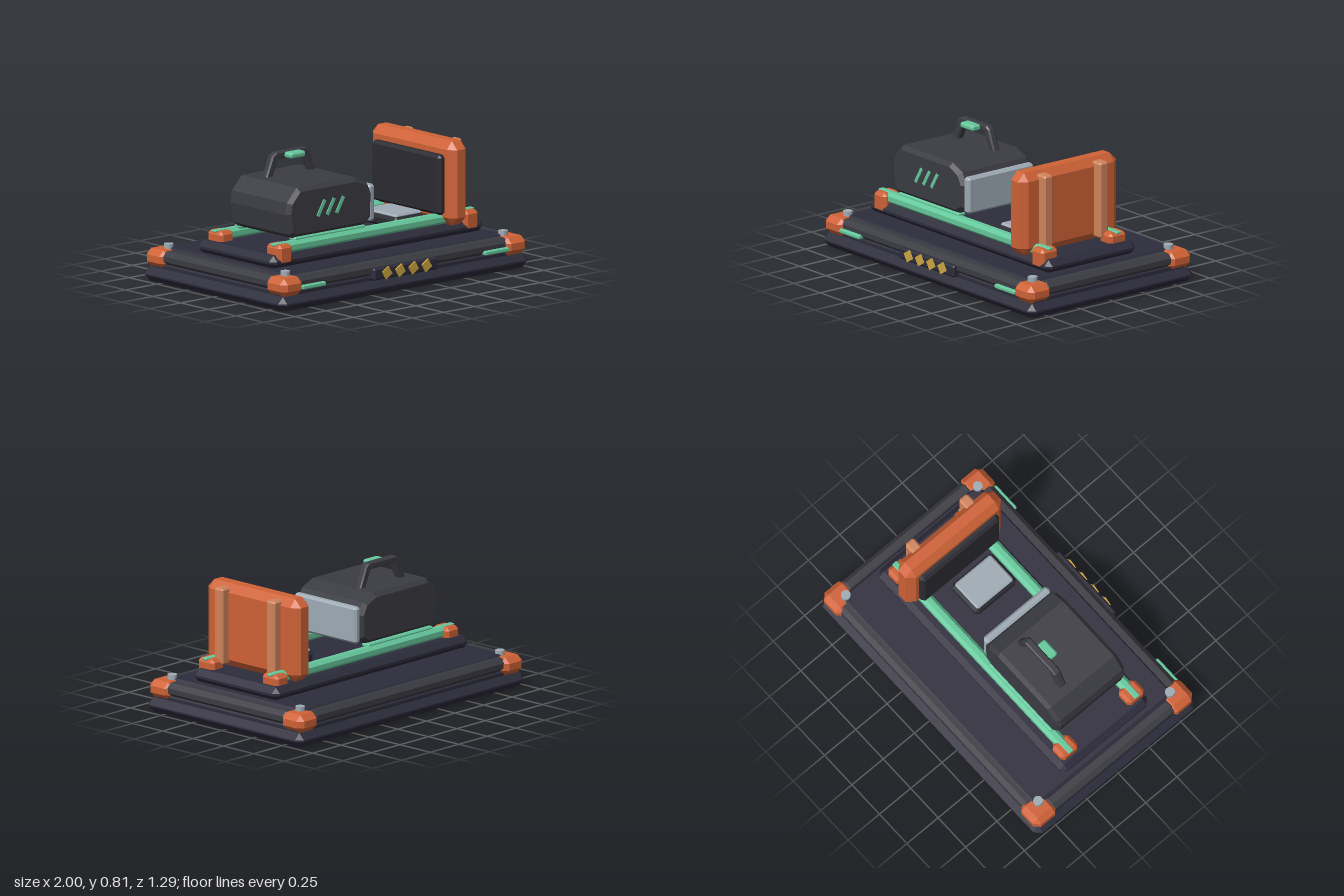
import * as THREE from 'three';
import { ConvexGeometry } from 'three/addons/geometries/ConvexGeometry.js';

const mat = (name, color) => new THREE.MeshStandardMaterial({ name, color, flatShading: true });

export function createModel() {
  const model = new THREE.Group();
  model.name = 'railMachine';
  const navy = mat('navy', 0x2d2c3b);
  const charcoal = mat('charcoal', 0x3b3b43);
  const black = mat('black', 0x2a2a31);
  const orange = mat('orange', 0xcf6236);
  const lightOrange = mat('lightOrange', 0xd0845c);
  const green = mat('green', 0x66c99d);
  const grey = mat('grey', 0x9fabb5);
  const gold = mat('gold', 0xcca640);

  const add = (name, geometry, material) => {
    const mesh = new THREE.Mesh(geometry, material);
    mesh.name = name;
    model.add(mesh);
    return mesh;
  };

  // Box with all edges chamfered; the chamfer may differ per axis
  function block(name, material, [x0, x1], [y0, y1], [z0, z1], c = 0.01) {
    const [cx, cy, cz] = Array.isArray(c) ? c : [c, c, c];
    const hx = (x1 - x0) / 2, hy = (y1 - y0) / 2, hz = (z1 - z0) / 2;
    const points = [];
    for (const sx of [-1, 1]) for (const sy of [-1, 1]) for (const sz of [-1, 1]) {
      points.push(
        new THREE.Vector3(sx * hx, sy * (hy - cy), sz * (hz - cz)),
        new THREE.Vector3(sx * (hx - cx), sy * hy, sz * (hz - cz)),
        new THREE.Vector3(sx * (hx - cx), sy * (hy - cy), sz * hz));
    }
    const mesh = add(name, new ConvexGeometry(points), material);
    mesh.position.set((x0 + x1) / 2, (y0 + y1) / 2, (z0 + z1) / 2);
    return mesh;
  }
  const around = (centre, half) => [centre - half, centre + half];

  // Base slab, deck and stepped plinth
  block('baseSlab', navy, [-1, 1], [0, 0.09], [-0.643, 0.637], [0.04, 0.04, 0.04]);
  block('baseStep', navy, [-0.96, 0.96], [0.07, 0.13], [-0.603, 0.597], 0.02);
  block('deck', navy, [-0.89, 0.89], [0.08, 0.208], [-0.563, 0.54], 0.015);
  block('plinth', navy, [-0.855, 0.855], [0.2, 0.285], [-0.312, 0.388], [0.035, 0.035, 0.035]);

  // Edge rails, corner blocks and bolts
  for (const s of [-1, 1]) {
    block('sideEdgeRail', charcoal, around(s * 0.92, 0.05), [0.11, 0.198], [-0.5, 0.5], 0.028);
    block('longEdgeRail', charcoal, [-0.86, 0.86], [0.11, 0.198], around(s * 0.56 - 0.003, 0.05), 0.028);
    for (const t of [-1, 1]) {
      block('cornerBlock', orange, around(s * 0.898, 0.088), [0.088, 0.2], around(t * 0.545 - 0.003, 0.09), 0.035);
      const bolt = add('bolt', new THREE.CylinderGeometry(0.03, 0.03, 0.03, 12), grey);
      bolt.position.set(s * 0.875, 0.213, t * 0.527 - 0.004);
    }
    block('frontLight', green, around(s * 0.735, 0.095), [0.12, 0.146], [0.56, 0.632], 0.006);
  }

  // Front panel with tilted gold studs
  block('frontPanel', navy, [-0.26, 0.26], [0.094, 0.168], [0.56, 0.634], 0.01);
  for (let i = 0; i < 4; i++) {
    const stud = add('panelStud', new THREE.BoxGeometry(0.058, 0.058, 0.009), gold);
    stud.position.set(-0.16 + i * 0.106, 0.133, 0.639);
    stud.rotation.z = 0.55;
  }

  // Sliding rails with end brackets
  for (const z of [-0.205, 0.325]) {
    block('slideRail', green, [-0.75, 0.75], [0.28, 0.35], around(z, 0.036), [0.02, 0.02, 0.02]);
    block('carriageSlide', green, [-0.63, -0.06], [0.34, 0.366], around(z - Math.sign(z) * 0.02, 0.03), 0.008);
    for (const s of [-1, 1]) {
      block('railBracket', orange, around(s * 0.748, 0.056), [0.222, 0.346], around(z, 0.066), 0.02);
      block('bracketPad', green, around(s * 0.75, 0.055), [0.336, 0.351], around(z, 0.019), 0.004);
    }
  }

  // Motor housing: side profile extruded across with a bevel
  const profile = [[-0.59, 0.64], [-0.655, 0.57], [-0.665, 0.51], [-0.645, 0.4], [-0.625, 0.385],
    [-0.08, 0.385], [-0.035, 0.415], [-0.03, 0.545], [-0.06, 0.605], [-0.14, 0.64]];
  const housingShape = new THREE.Shape(profile.reverse().map(([x, y]) => new THREE.Vector2(x, y)));
  const housing = add('housing', new THREE.ExtrudeGeometry(housingShape, {
    depth: 0.495, bevelEnabled: true, bevelThickness: 0.025, bevelSize: 0.025, bevelSegments: 1,
  }), charcoal);
  housing.position.z = -0.18;

  // Slanted vents on the housing front
  for (let i = 0; i < 3; i++) {
    const vent = add('vent', new THREE.BoxGeometry(0.022, 0.11, 0.009), green);
    vent.position.set(-0.425 + i * 0.075, 0.52, 0.342);
    vent.rotation.z = -0.54;
  }

  // Carrying handle
  const handleShape = new THREE.Shape([[-0.55, 0.655], [-0.495, 0.655], [-0.445, 0.765], [-0.245, 0.765],
    [-0.195, 0.655], [-0.145, 0.655], [-0.2, 0.79], [-0.225, 0.808], [-0.465, 0.808], [-0.495, 0.79]]
    .map(([x, y]) => new THREE.Vector2(x, y)));
  const handle = add('handle', new THREE.ExtrudeGeometry(handleShape, {
    depth: 0.03, bevelEnabled: true, bevelThickness: 0.01, bevelSize: 0.008, bevelOffset: -0.008, bevelSegments: 1,
  }), charcoal);
  handle.position.z = -0.055;
  block('handleGrip', green, [-0.402, -0.28], [0.768, 0.804], [-0.025, 0.043], 0.01);

  // Press plate on the housing and the tray in the bed
  block('pressPlate', grey, [-0.026, 0.026], [0.375, 0.602], [-0.186, 0.324], 0.014);
  block('trayBase', black, [0.232, 0.475], [0.28, 0.353], [-0.048, 0.277], 0.02);
  block('trayTop', grey, [0.246, 0.46], [0.345, 0.368], [-0.03, 0.26], 0.01);

  // Upright end plate with its inner pad and outer ribs
  block('endPlate', orange, [0.535, 0.68], [0.28, 0.798], [-0.317, 0.447], [0.04, 0.05, 0.05]);
  block('endPad', black, [0.494, 0.56], [0.345, 0.715], [-0.245, 0.375], 0.018);
  for (const z of [-0.15, 0.28]) {
    block('endRib', lightOrange, [0.65, 0.735], [0.305, 0.78], around(z, 0.035), 0.012);
  }
  return model;
}
